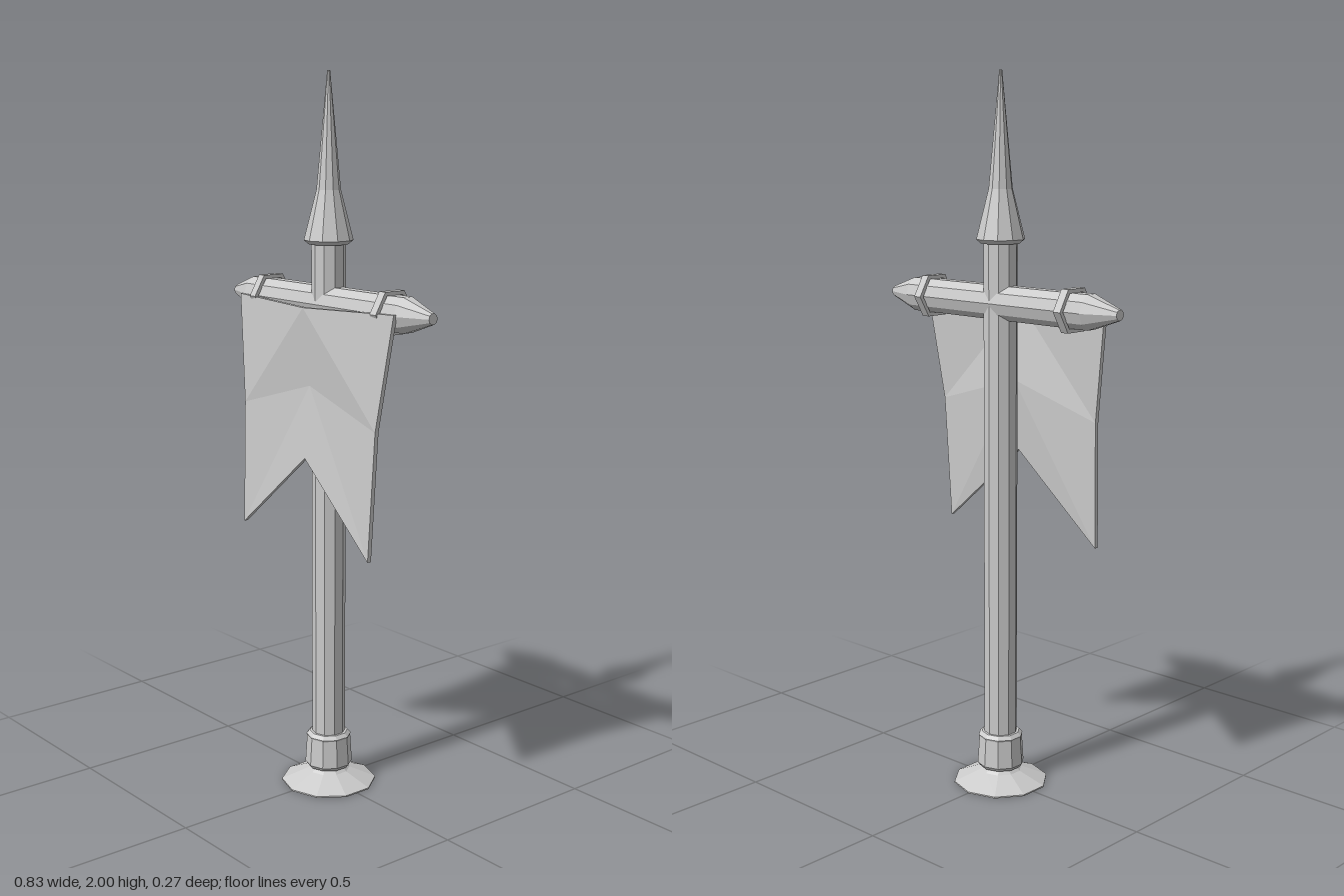
import * as THREE from 'three';

const material = new THREE.MeshStandardMaterial({ color: 0xcccccc, flatShading: true });

function turned(name, profile, sides = 10) {
  const points = profile.map(([r, y]) => new THREE.Vector2(r, y));
  const mesh = new THREE.Mesh(new THREE.LatheGeometry(points, sides), material);
  mesh.name = name;
  return mesh;
}

// Folded cloth slab: rows of [x, y, z] front points, top to bottom
function clothGeometry(rows, thickness) {
  const n = rows[0].length, m = rows.length, count = n * m;
  const front = rows.flat();
  const back = front.map(([x, y, z]) => [x, y, z - thickness]);
  const index = [];
  const id = (r, c) => r * n + c;
  const quad = (a, b, c, d) => index.push(a, b, c, a, c, d);
  for (let r = 0; r < m - 1; r++) {
    for (let c = 0; c < n - 1; c++) {
      const a = id(r, c), b = id(r + 1, c), d = id(r + 1, c + 1), e = id(r, c + 1);
      // Diagonals mirror about the centre column
      const tris = c < (n - 1) / 2 ? [[a, b, e], [b, d, e]] : [[a, b, d], [a, d, e]];
      for (const [p, q, s] of tris) index.push(p, q, s, p + count, s + count, q + count);
    }
  }
  // Rim, walked counter-clockwise seen from the front
  const rim = [];
  for (let r = 0; r < m - 1; r++) rim.push(id(r, 0));
  for (let c = 0; c < n - 1; c++) rim.push(id(m - 1, c));
  for (let r = m - 1; r > 0; r--) rim.push(id(r, n - 1));
  for (let c = n - 1; c > 0; c--) rim.push(id(0, c));
  rim.forEach((a, i) => {
    const b = rim[(i + 1) % rim.length];
    quad(a, a + count, b + count, b);
  });
  const geometry = new THREE.BufferGeometry();
  geometry.setAttribute('position', new THREE.Float32BufferAttribute([...front, ...back].flat(), 3));
  geometry.setIndex(index);
  const flat = geometry.toNonIndexed();
  flat.computeVertexNormals();
  return flat;
}

export function createModel() {
  const group = new THREE.Group();

  // Upright parts
  group.add(
    turned('base', [[0, 0], [0.135, 0], [0.135, 0.004], [0.06, 0.036], [0.045, 0.05], [0, 0.05]]),
    turned('collar', [[0, 0.048], [0.06, 0.048], [0.067, 0.058], [0.062, 0.137], [0.064, 0.142], [0.054, 0.152], [0, 0.152]]),
    turned('pole', [[0, 0.03], [0.047, 0.03], [0.047, 1.55], [0, 1.55]]),
    turned('spearhead', [[0, 1.545], [0.055, 1.545], [0.067, 1.556], [0.033, 1.69], [0.004, 2], [0, 2]]),
  );

  // Crossbar with tapered ends
  const barY = 1.385;
  const bar = turned('crossbar', [[0, -0.415], [0.015, -0.415], [0.049, -0.32], [0.049, 0.32], [0.015, 0.415], [0, 0.415]]);
  bar.rotation.z = -Math.PI / 2;
  bar.position.y = barY;
  group.add(bar);

  // Hexagonal straps around the crossbar
  for (const side of [-1, 1]) {
    const strap = turned(side > 0 ? 'leftStrap' : 'rightStrap',
      [[0.054, -0.012], [0.066, -0.012], [0.066, 0.012], [0.054, 0.012], [0.054, -0.012]], 6);
    strap.rotation.z = -Math.PI / 2;
    strap.position.set(side * 0.258, barY, 0);
    group.add(strap);
  }

  // Swallow-tailed banner
  const banner = new THREE.Mesh(clothGeometry([
    [[-0.33, 1.385, 0.054], [0, 1.38, 0.09], [0.326, 1.39, 0.054]],
    [[-0.287, 1.08, 0.074], [0, 1.165, 0.067], [0.28, 1.08, 0.074]],
    [[-0.28, 0.73, 0.087], [0, 0.965, 0.085], [0.268, 0.73, 0.087]],
  ], 0.012), material);
  banner.name = 'banner';
  group.add(banner);

  return group;
}
